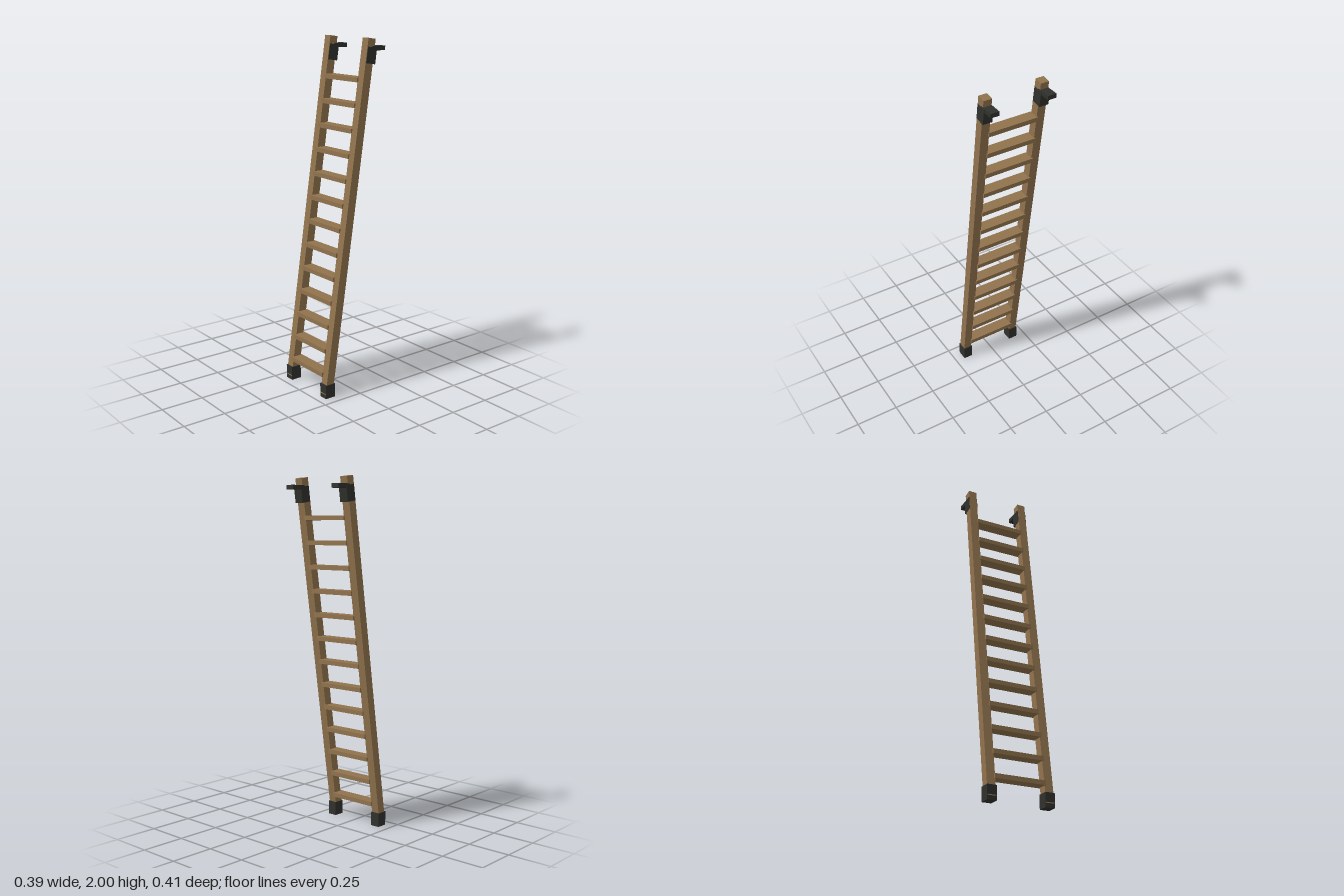
import * as THREE from 'three';

export function createModel() {
  const group = new THREE.Group();
  group.name = 'leaningLadder';

  const wood = new THREE.MeshStandardMaterial({ color: 0x91734d });
  wood.name = 'wood';
  const rubber = new THREE.MeshStandardMaterial({ color: 0x30312c });
  rubber.name = 'darkRubber';

  // Centre line of the rails, leaning towards the back
  const bottom = new THREE.Vector3(0, 0.02, 0.179);
  const top = new THREE.Vector3(0, 1.9964, -0.112);
  const lean = Math.atan2(top.z - bottom.z, top.y - bottom.y);
  const railZ = (y) => bottom.z + (y - bottom.y) * Math.tan(lean);

  function box(name, material, size, position, tilt = 0) {
    const mesh = new THREE.Mesh(new THREE.BoxGeometry(...size), material);
    mesh.name = name;
    mesh.position.set(...position);
    mesh.rotation.x = tilt;
    group.add(mesh);
    return mesh;
  }

  for (const [side, s] of [['left', 1], ['right', -1]]) {
    const x = s * 0.167;

    // Side rail
    const mid = bottom.clone().add(top).multiplyScalar(0.5);
    box(side + 'Rail', wood, [0.049, bottom.distanceTo(top), 0.05], [x, mid.y, mid.z], lean);

    // Foot cap, flat on the ground
    box(side + 'Foot', rubber, [0.055, 0.08, 0.063], [x, 0.04, 0.1715]);

    // Clamp behind the rail top; the rail front stands just proud of it
    const clampY = 1.906;
    box(side + 'Clamp', rubber, [0.055, 0.088, 0.062], [x, clampY, railZ(clampY) - 0.009], lean);

    // Horizontal hook reaching back from the clamp
    box(side + 'Hook', rubber, [0.05, 0.024, 0.09], [x, 1.943, -0.159]);
  }

  // Level treads
  for (let i = 0; i < 13; i++) {
    const y = 0.13 + i * 0.1371;
    box('rung' + (i + 1), wood, [0.296, 0.025, 0.07], [0, y, railZ(y)]);
  }

  return group;
}
